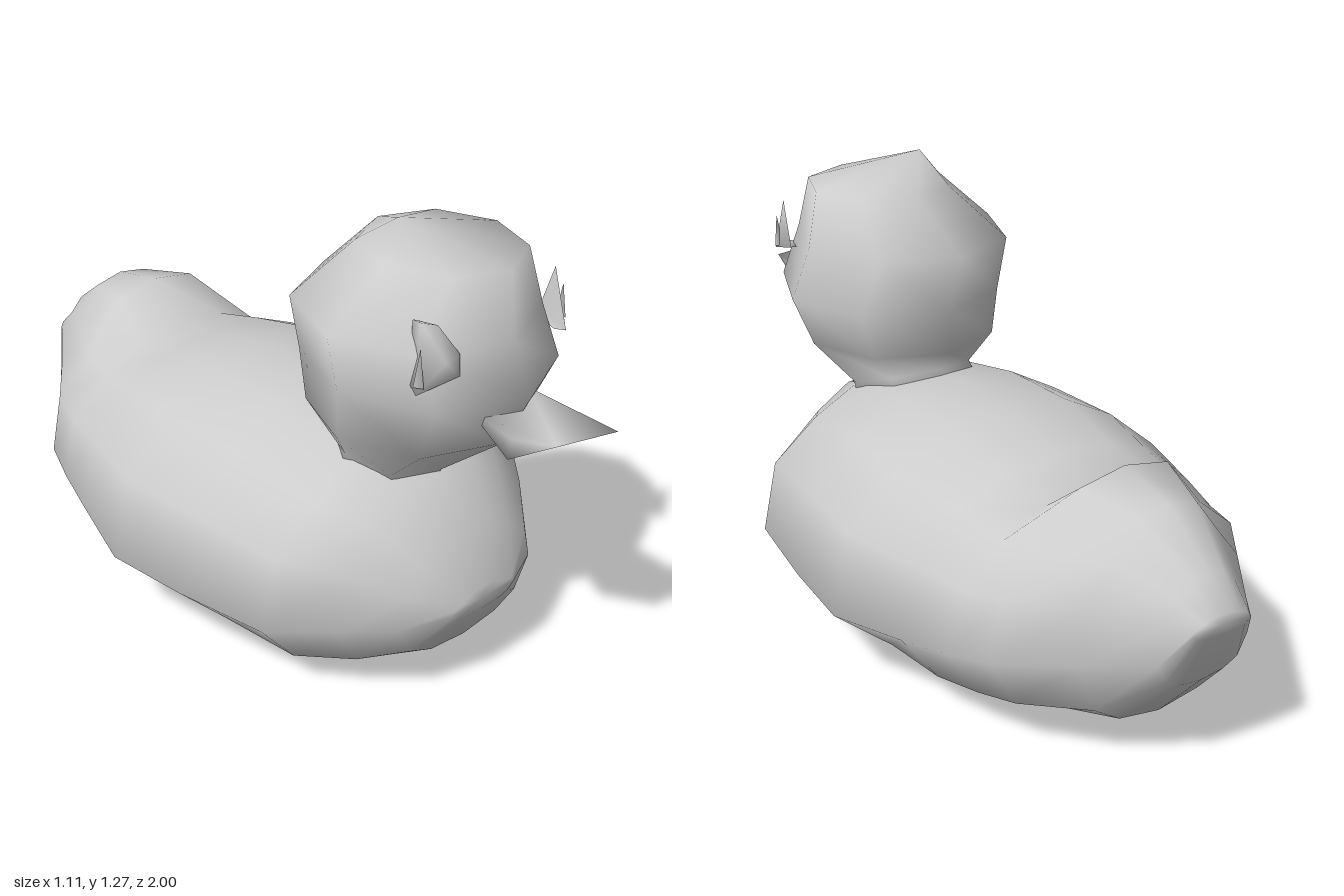
import * as THREE from 'three';

const grey = new THREE.MeshStandardMaterial({ color: 0xcccccc });
grey.name = 'plain grey';
const lerp = THREE.MathUtils.lerp;

// Smooth closed skin over rings of [x, y, z]; caps fan to the given or average point
function loft(rings, startCap) {
  const n = rings[0].length, last = (rings.length - 1) * n;
  const mean = (ring) => [0, 1, 2].map((k) => ring.reduce((s, p) => s + p[k], 0) / n);
  const points = [...rings.flat(), startCap || mean(rings[0]), mean(rings[rings.length - 1])];
  const start = points.length - 2, end = points.length - 1;
  const index = [];
  for (let j = 0; j < n; j++) {
    const k = (j + 1) % n;
    for (let i = 0; i < last; i += n) {
      index.push(i + j, i + n + j, i + n + k, i + j, i + n + k, i + k);
    }
    index.push(start, j, k, end, last + k, last + j);
  }
  const geometry = new THREE.BufferGeometry();
  geometry.setAttribute('position', new THREE.Float32BufferAttribute(points.flat(), 3));
  geometry.setIndex(index);
  geometry.computeVertexNormals();
  return geometry;
}

// Body cross-section: half width, bottom, widest height, shoulder height, top
function bodyRing([z, w, bottom, wide, shoulder, top]) {
  const keel = Math.min(0.38, 0.8 * w);
  const side = [
    [0.62 * keel, lerp(bottom, wide, 0.1)],
    [keel, lerp(bottom, wide, 0.34)],
    [w, wide],
    [0.91 * w, lerp(wide, shoulder, 0.64)],
    [0.63 * w, shoulder],
    [0.34 * w, lerp(shoulder, top, 0.85)],
  ];
  return [
    [0, bottom, z],
    ...side.map(([x, y]) => [x, y, z]),
    [0, top, z],
    ...side.slice().reverse().map(([x, y]) => [-x, y, z]),
  ];
}

// Eight-sided head ring: height, centre x and z, radii in x and z, drop towards the front
function headRing([y, cx, cz, rx, rz, drop = 0]) {
  return Array.from({ length: 8 }, (_, i) => {
    const a = (i * Math.PI) / 4, dz = -rz * Math.sin(a);
    return [cx + rx * Math.cos(a), y - drop * dz, cz + dz];
  });
}

export function createModel() {
  const duck = new THREE.Group();
  duck.name = 'duck';
  const add = (name, geometry) => {
    const mesh = new THREE.Mesh(geometry, grey);
    mesh.name = name;
    duck.add(mesh);
  };

  // Body from breast to upturned tail
  add('body', loft([
    [0.72, 0.12, 0.24, 0.27, 0.29, 0.31],
    [0.66, 0.25, 0.125, 0.26, 0.4, 0.44],
    [0.55, 0.36, 0.065, 0.25, 0.5, 0.58],
    [0.41, 0.49, 0.04, 0.24, 0.55, 0.64],
    [0.13, 0.53, 0, 0.23, 0.59, 0.69],
    [-0.12, 0.555, 0.005, 0.23, 0.59, 0.69],
    [-0.35, 0.487, 0.03, 0.25, 0.57, 0.645],
    [-0.5, 0.443, 0.055, 0.27, 0.54, 0.61],
    [-0.62, 0.4, 0.075, 0.29, 0.55, 0.72],
    [-0.79, 0.255, 0.105, 0.32, 0.57, 0.685],
    [-0.94, 0.14, 0.275, 0.36, 0.52, 0.57],
    [-1, 0.09, 0.43, 0.45, 0.475, 0.485],
  ].map(bodyRing)));

  // Head, slightly lopsided, with a neck that flares into the back
  add('head', loft([
    [1.185, 0.035, 0.49, 0.2, 0.22],
    [1.04, -0.02, 0.46, 0.3, 0.32],
    [0.89, 0.015, 0.478, 0.315, 0.332],
    [0.75, -0.005, 0.465, 0.28, 0.285],
    [0.635, 0, 0.39, 0.185, 0.16, 0.33],
    [0.55, 0, 0.37, 0.2, 0.21, 0.35],
  ].map(headRing), [-0.08, 1.27, 0.45]));

  // Crooked wedge beak
  add('beak', loft([
    [[0.11, 0.845, 1], [0.145, 0.815, 0.83], [0.13, 0.84, 0.71]],
    [[-0.09, 0.875, 0.98], [-0.08, 0.77, 0.83], [-0.08, 0.85, 0.71]],
  ]));

  // Jagged eyes: a pointed shard on the left, a rounder one on the right
  add('leftEye', loft([
    [[0.215, 0.98, 0.745], [0.265, 0.975, 0.7], [0.25, 0.99, 0.63]],
    [[0.2, 0.98, 0.72], [0.21, 0.985, 0.68], [0.23, 0.99, 0.63]],
  ], [0.245, 1.12, 0.675]));
  add('leftEyeSpike', new THREE.ConeGeometry(0.015, 0.09, 3).translate(0.262, 1.03, 0.69));
  add('rightEye', loft([
    [[-0.225, 1.12, 0.67], [-0.255, 0.95, 0.69], [-0.15, 0.98, 0.73], [-0.155, 1.04, 0.73], [-0.19, 1.11, 0.69]],
    [[-0.21, 1.11, 0.63], [-0.23, 0.96, 0.64], [-0.15, 0.98, 0.66], [-0.155, 1.04, 0.66], [-0.19, 1.1, 0.63]],
  ], [-0.2, 1.03, 0.73]));
  add('rightEyeSpike', new THREE.ConeGeometry(0.015, 0.1, 3).translate(-0.245, 1.02, 0.69));

  return duck;
}
